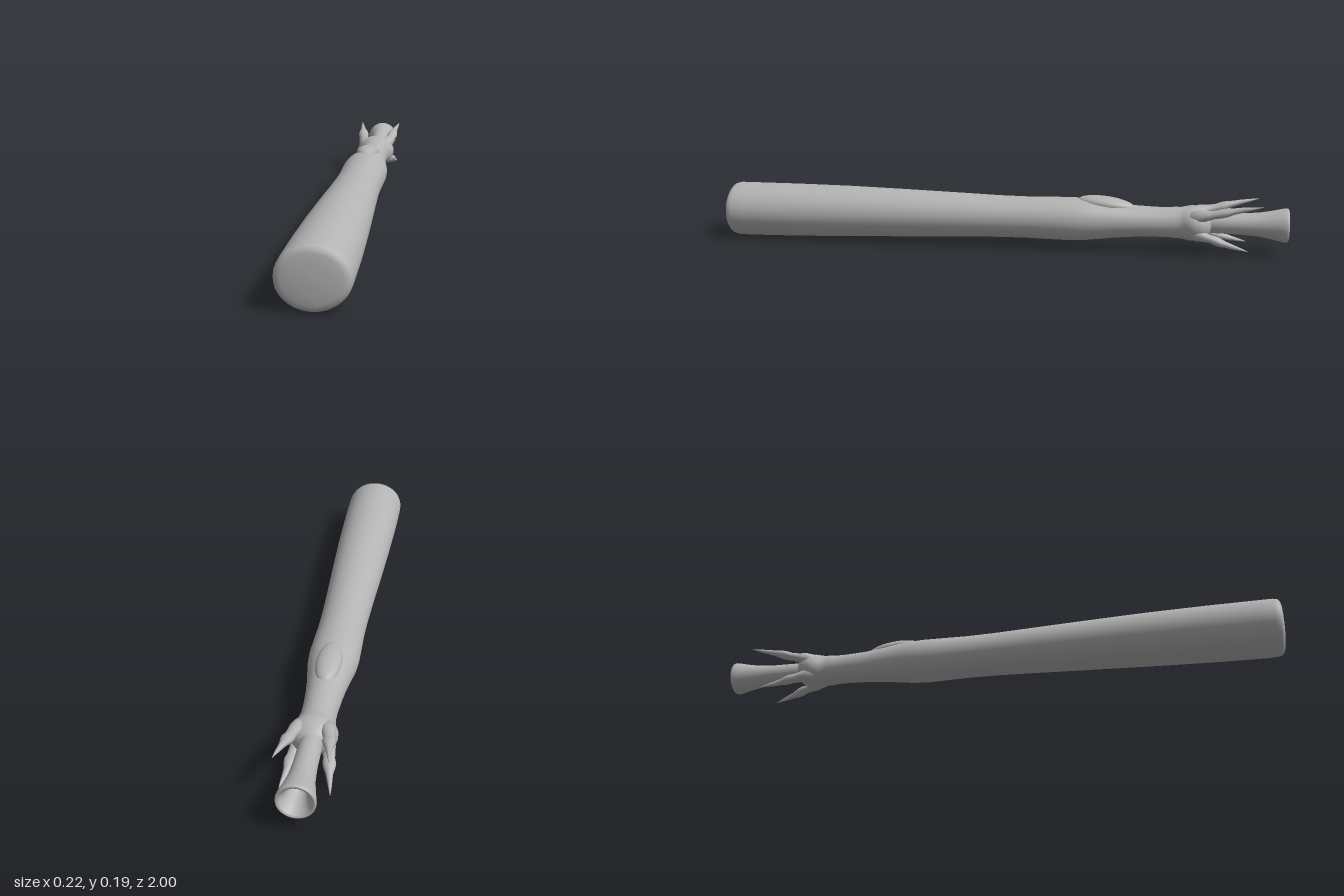
import * as THREE from 'three';

// Skin of elliptical rings; each section is [z, centreX, centreY, radiusX, radiusY], z descending
function loft(sections, sides) {
  const pos = [], index = [];
  sections.forEach(([z, cx, cy, rx, ry], i) => {
    for (let j = 0; j < sides; j++) {
      const a = (j / sides) * Math.PI * 2;
      pos.push(cx + rx * Math.cos(a), cy + ry * Math.sin(a), z);
      if (i === sections.length - 1) continue;
      const p = i * sides + j, q = i * sides + ((j + 1) % sides);
      index.push(p, p + sides, q, q, p + sides, q + sides);
    }
  });
  const geo = new THREE.BufferGeometry();
  geo.setAttribute('position', new THREE.Float32BufferAttribute(pos, 3));
  geo.setIndex(index);
  geo.computeVertexNormals();
  return geo;
}

export function createModel() {
  const group = new THREE.Group();
  const grey = new THREE.MeshStandardMaterial({ color: 0xb4b4b4 });
  grey.name = 'plain grey';
  const add = (name, geo) => {
    const mesh = new THREE.Mesh(geo, grey);
    mesh.name = name;
    group.add(mesh);
    return mesh;
  };

  // Tapered handle with swollen grip and collar: [z, half width, bottom, top]
  const shaft = [
    [1, 0, 0.098, 0.098], [0.999, 0.05, 0.055, 0.141], [0.996, 0.085, 0.024, 0.172],
    [0.992, 0.098, 0.013, 0.184], [0.985, 0.106, 0.005, 0.191], [0.97, 0.109, 0.001, 0.194],
    [0.93, 0.11, 0, 0.194], [0.75, 0.108, 0.003, 0.194], [0.55, 0.103, 0.009, 0.192],
    [0.35, 0.096, 0.016, 0.187], [0.15, 0.088, 0.023, 0.181], [0, 0.083, 0.028, 0.176],
    [-0.1, 0.082, 0.029, 0.175], [-0.2, 0.084, 0.027, 0.177], [-0.26, 0.085, 0.026, 0.178],
    [-0.31, 0.082, 0.029, 0.176], [-0.36, 0.075, 0.035, 0.171], [-0.42, 0.066, 0.042, 0.164],
    [-0.48, 0.06, 0.047, 0.157], [-0.55, 0.056, 0.05, 0.154], [-0.6, 0.055, 0.05, 0.154],
    [-0.62, 0.058, 0.047, 0.157], [-0.635, 0.057, 0.048, 0.156], [-0.65, 0.064, 0.046, 0.159],
    [-0.67, 0.073, 0.042, 0.163], [-0.69, 0.075, 0.042, 0.163], [-0.71, 0.069, 0.048, 0.157],
    [-0.73, 0.055, 0.06, 0.146], [-0.74, 0.036, 0.07, 0.136],
  ];
  add('shaft', loft(shaft.map(([z, rx, lo, hi]) => [z, 0, (lo + hi) / 2, rx, (hi - lo) / 2]), 48));

  // Oval inlay on the upper side
  const oval = add('ovalInlay', new THREE.SphereGeometry(1, 32, 20));
  oval.scale.set(0.042, 0.026, 0.1);
  oval.position.set(0, 0.16, -0.38);
  oval.rotation.x = -0.12;

  // Flared hollow mouthpiece
  const flare = [
    [0.034, 0.7], [0.036, 0.78], [0.037, 0.84], [0.041, 0.9], [0.049, 0.945], [0.056, 0.975],
    [0.059, 0.99], [0.058, 0.998], [0.054, 1], [0.048, 0.996], [0.038, 0.975], [0.029, 0.945],
    [0.024, 0.91], [0, 0.905],
  ].map(([r, h]) => new THREE.Vector2(r, h));
  const mouth = add('mouthpiece', new THREE.LatheGeometry(flare, 40));
  mouth.rotation.x = -Math.PI / 2;
  mouth.position.y = 0.105;

  // Four knuckled claws around the mouthpiece; the lower pair is shorter
  // [z, x offset, y offset, radiusX, radiusY]
  const claw = [
    [-0.655, 0.038, 0.022, 0, 0], [-0.67, 0.041, 0.025, 0.022, 0.022],
    [-0.7, 0.046, 0.031, 0.025, 0.024], [-0.73, 0.053, 0.037, 0.02, 0.017],
    [-0.755, 0.058, 0.043, 0.018, 0.014], [-0.775, 0.061, 0.048, 0.021, 0.016],
    [-0.795, 0.063, 0.053, 0.018, 0.015], [-0.815, 0.066, 0.058, 0.012, 0.011],
    [-0.84, 0.07, 0.064, 0.009, 0.009], [-0.875, 0.076, 0.071, 0.005, 0.005],
    [-0.91, 0.081, 0.078, 0, 0],
  ];
  for (const sx of [1, -1]) {
    for (const sy of [1, -1]) {
      const length = sy > 0 ? 1 : 0.84;
      const rings = claw.map(([z, x, y, rx, ry]) =>
        [-0.655 + (z + 0.655) * length, sx * x * (sy > 0 ? 1 : 0.95), 0.103 + sy * y, rx, ry]);
      add((sy > 0 ? 'upper' : 'lower') + (sx > 0 ? 'Left' : 'Right') + 'Claw', loft(rings, 20));
    }
  }
  return group;
}
